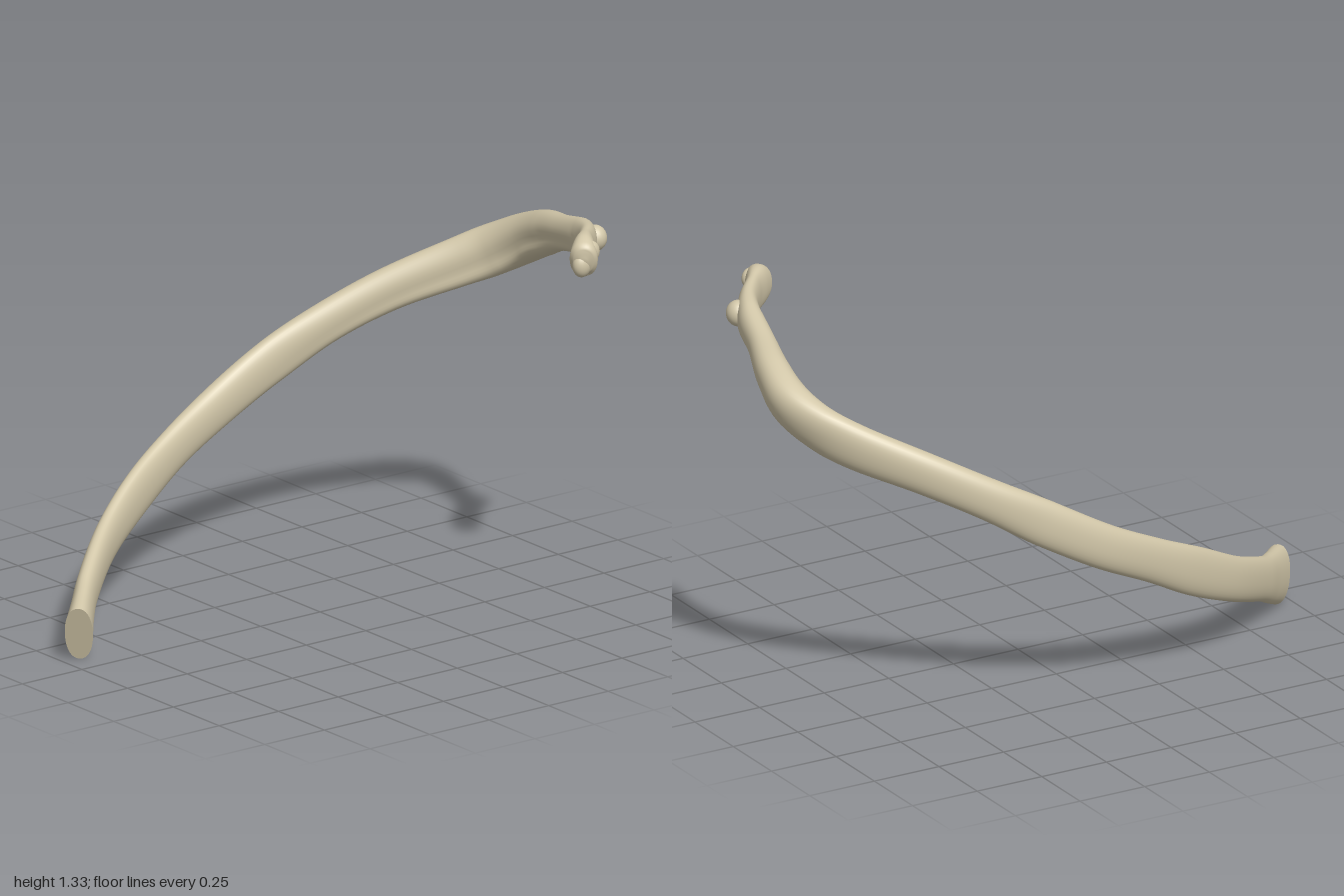
import * as THREE from 'three';

// Stations along the rib, sternal end to head: centre x, y, z, half height, half thickness, roll
const STATIONS = [
  [-0.075, 0.095, 0.955, 0.101, 0.047, 0],
  [-0.155, 0.128, 0.88, 0.087, 0.04, 0],
  [-0.235, 0.168, 0.8, 0.076, 0.037, 0],
  [-0.39, 0.265, 0.6, 0.077, 0.036, 0],
  [-0.484, 0.367, 0.4, 0.083, 0.036, 0],
  [-0.541, 0.47, 0.2, 0.076, 0.038, 0],
  [-0.568, 0.568, 0, 0.077, 0.042, 0],
  [-0.555, 0.68, -0.2, 0.079, 0.04, 0],
  [-0.503, 0.795, -0.4, 0.072, 0.043, 0.04],
  [-0.412, 0.9, -0.6, 0.074, 0.044, 0.1],
  [-0.275, 0.995, -0.8, 0.084, 0.046, 0.18],
  [-0.19, 1.045, -0.878, 0.088, 0.053, 0.24],
  [-0.08, 1.103, -0.924, 0.085, 0.066, 0.26],
  [0.05, 1.158, -0.914, 0.077, 0.06, 0.22],
  [0.2, 1.205, -0.872, 0.06, 0.048, 0.1],
  [0.35, 1.238, -0.832, 0.065, 0.041, 0],
  [0.43, 1.247, -0.79, 0.069, 0.034, 0],
  [0.5, 1.252, -0.73, 0.074, 0.03, 0],
  [0.55, 1.257, -0.685, 0.074, 0.041, 0],
  [0.578, 1.254, -0.663, 0.063, 0.047, 0],
  [0.59, 1.25, -0.652, 0.044, 0.035, 0],
  [0.596, 1.248, -0.647, 0.018, 0.015, 0],
];
const ROWS = 168, SIDES = 36;
const UP = new THREE.Vector3(0, 1, 0);

function sweepGeometries() {
  const path = new THREE.CatmullRomCurve3(STATIONS.map(s => new THREE.Vector3(s[0], s[1], s[2])));
  const size = new THREE.CatmullRomCurve3(STATIONS.map(s => new THREE.Vector3(s[3], s[4], s[5])));
  const pos = [], index = [], soft = (v, e) => Math.sign(v) * Math.abs(v) ** e;
  for (let i = 0; i <= ROWS; i++) {
    const t = i / ROWS, c = path.getPoint(t), tan = path.getTangent(t), s = size.getPoint(t);
    const up = UP.clone().addScaledVector(tan, -tan.y).normalize();
    up.applyAxisAngle(tan, -s.z);
    const inward = tan.clone().cross(up);
    // shallow groove low on the inner face of the rear shaft
    const groove = 0.3 * Math.exp(-(((t - 0.55) / 0.17) ** 2));
    for (let j = 0; j < SIDES; j++) {
      const a = j / SIDES * Math.PI * 2, ca = Math.cos(a), sa = Math.sin(a);
      const dent = ca > 0 ? 1 - groove * ca * Math.exp(-(((sa + 0.4) / 0.35) ** 2)) : 1;
      const p = c.clone().addScaledVector(up, s.x * soft(sa, 0.92))
        .addScaledVector(inward, s.y * soft(ca, 0.88) * dent);
      pos.push(p.x, p.y, p.z);
      if (i < ROWS) {
        const k = i * SIDES, n = (j + 1) % SIDES;
        index.push(k + j, k + SIDES + j, k + n, k + n, k + SIDES + j, k + SIDES + n);
      }
    }
  }
  // close the rounded tip of the head
  const last = ROWS * SIDES, tip = pos.length / 3;
  pos.push(0.599, 1.248, -0.644);
  for (let j = 0; j < SIDES; j++) index.push(tip, last + (j + 1) % SIDES, last + j);

  // flat cut face at the sternal end
  const cap = pos.slice(0, SIDES * 3), capIndex = [];
  cap.push(...path.getPoint(0).toArray());
  for (let j = 0; j < SIDES; j++) capIndex.push(SIDES, j, (j + 1) % SIDES);
  return [[pos, index], [cap, capIndex]].map(([p, ix]) => {
    const g = new THREE.BufferGeometry();
    g.setAttribute('position', new THREE.Float32BufferAttribute(p, 3));
    g.setIndex(ix);
    g.computeVertexNormals();
    return g;
  });
}

export function createModel() {
  const group = new THREE.Group();
  group.name = 'ribBone';
  const bone = new THREE.MeshStandardMaterial({ color: 0xd2c7a9 });
  bone.name = 'bone';
  const add = (name, geometry) => {
    const mesh = new THREE.Mesh(geometry, bone);
    mesh.name = name;
    group.add(mesh);
    return mesh;
  };

  const [shaft, end] = sweepGeometries();
  add('shaft', shaft);
  add('sternalEnd', end);

  // small bony knobs near the head: position, radii
  const knob = (name, p, r) => {
    const mesh = add(name, new THREE.SphereGeometry(1, 24, 16));
    mesh.position.set(...p);
    mesh.scale.set(...r);
  };
  knob('tubercle', [0.4, 1.245, -0.847], [0.042, 0.045, 0.04]);
  knob('headFacet', [0.578, 1.235, -0.655], [0.028, 0.042, 0.034]);
  knob('headRim', [0.58, 1.275, -0.69], [0.025, 0.038, 0.034]);
  return group;
}
